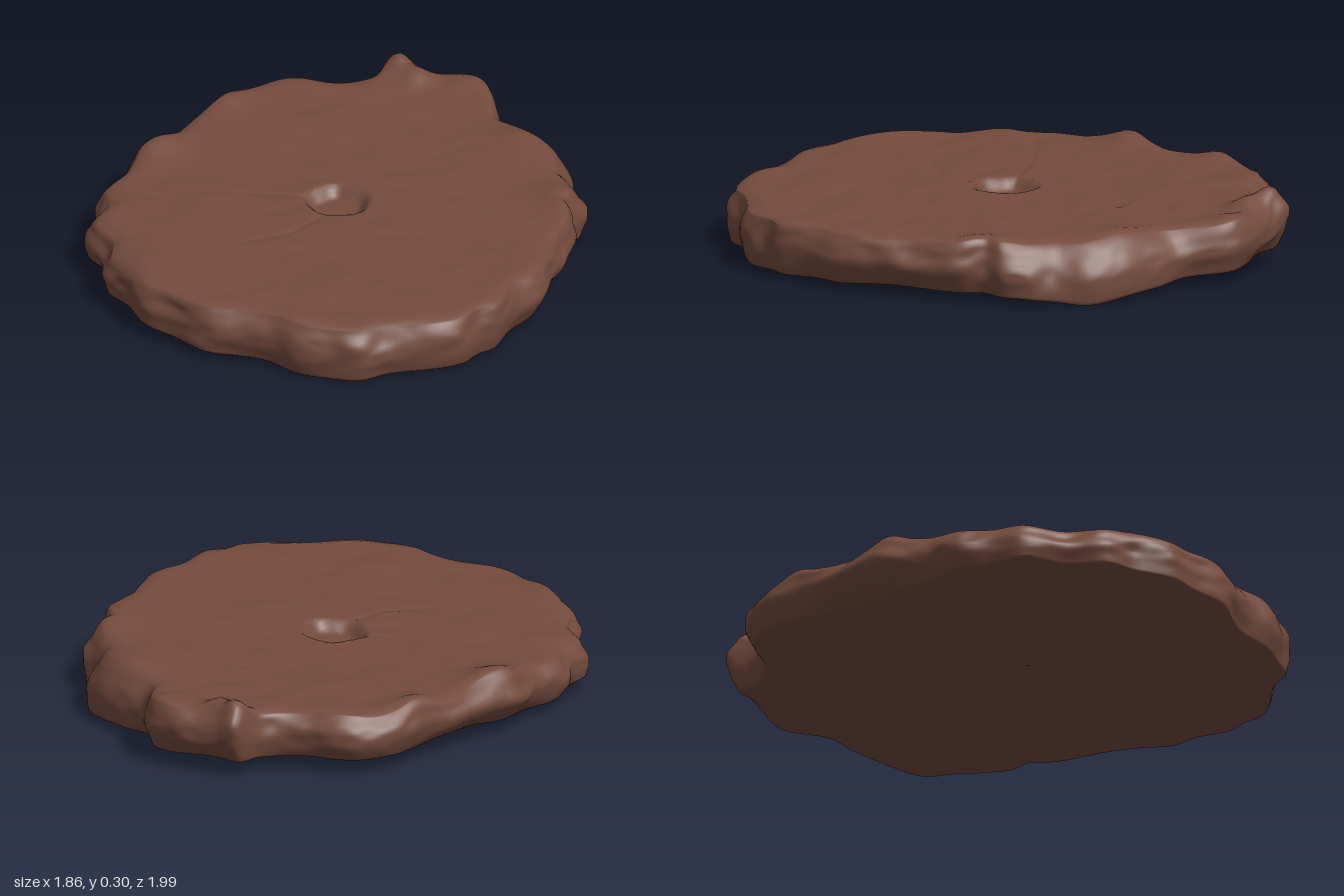
import * as THREE from 'three';

// Outer edge of the slab, as x, z pairs running clockwise from the back
const OUTLINE = [
  0.03, -1, 0.12, -0.98, 0.22, -0.93, 0.32, -0.91, 0.41, -0.92, 0.5, -0.975, 0.56, -0.92, 0.62, -0.87,
  0.7, -0.82, 0.78, -0.72, 0.785, -0.53, 0.85, -0.4, 0.905, -0.28, 0.93, -0.15, 0.905, -0.03, 0.91, 0.08,
  0.89, 0.18, 0.835, 0.23, 0.815, 0.32, 0.75, 0.45, 0.65, 0.61, 0.56, 0.74, 0.45, 0.82, 0.35, 0.915,
  0.27, 0.935, 0.2, 0.98, 0.06, 0.995, -0.1, 0.975, -0.2, 0.985, -0.3, 0.94, -0.42, 0.87, -0.5, 0.78,
  -0.61, 0.7, -0.7, 0.64, -0.79, 0.5, -0.87, 0.4, -0.895, 0.25, -0.935, 0.13, -0.905, 0, -0.92, -0.17,
  -0.845, -0.27, -0.81, -0.4, -0.7, -0.5, -0.61, -0.64, -0.45, -0.745, -0.25, -0.88, -0.11, -0.97,
];
const HUB = { x: 0, z: -0.02 };

// Raised lumps along the rim: x, z, height, radius
const LUMPS = [
  [0.49, -0.91, 0.065, 0.06], [0.53, -0.81, 0.035, 0.06], [0.72, -0.72, 0.025, 0.09],
  [-0.53, -0.62, 0.048, 0.13], [-0.19, -0.86, 0.035, 0.09], [0.1, -0.93, 0.015, 0.1],
  [0.8, -0.3, 0.02, 0.12], [0.82, 0.22, 0.018, 0.14], [-0.85, 0.25, 0.015, 0.12],
  [-0.4, 0.78, 0.01, 0.1],
];
// Shallow cracks in the top face
const CRACKS = [
  [[-0.66, -0.25], [-0.48, -0.23], [-0.3, -0.17], [-0.1, -0.08]],
  [[-0.42, 0.18], [-0.24, 0.17], [-0.1, 0.09]],
  [[0.28, -0.44], [0.39, -0.36]],
];

const bell = (x, z, cx, cz, w) => Math.exp(-((x - cx) ** 2 + (z - cz) ** 2) / (w * w));
const { lerp, smoothstep, clamp } = THREE.MathUtils;

// Seeded smooth noise, -1 to 1
const hash = (i, j, k) => {
  const s = Math.sin(i * 127.1 + j * 311.7 + k * 74.7) * 43758.5453;
  return (s - Math.floor(s)) * 2 - 1;
};
function noise(x, y, z) {
  const i = Math.floor(x), j = Math.floor(y), k = Math.floor(z);
  const u = smoothstep(x - i, 0, 1), v = smoothstep(y - j, 0, 1), w = smoothstep(z - k, 0, 1);
  const row = (b, c) => lerp(hash(i, b, c), hash(i + 1, b, c), u);
  const face = (c) => lerp(row(j, c), row(j + 1, c), v);
  return lerp(face(k), face(k + 1), w);
}

function segmentDistance(x, z, [ax, az], [bx, bz]) {
  const dx = bx - ax, dz = bz - az;
  const t = clamp(((x - ax) * dx + (z - az) * dz) / (dx * dx + dz * dz), 0, 1);
  return Math.hypot(x - ax - t * dx, z - az - t * dz);
}

// Height of the upper face
function topY(x, z) {
  let y = 0.224 + 0.01 * x + 0.008 * smoothstep(-z, 0.4, 0.9)
    + 0.005 * noise(x * 5, 3, z * 5) + 0.003 * noise(x * 9 + z * 4, 7, z * 15 - x * 5);
  for (const [cx, cz, h, w] of LUMPS) y += h * bell(x, z, cx, cz, w);
  y -= 0.012 * smoothstep(-x, 0.75, 0.95);
  for (const crack of CRACKS) {
    const d = Math.min(...crack.slice(1).map((end, i) => segmentDistance(x, z, crack[i], end)));
    y -= 0.004 * Math.exp(-((d / 0.014) ** 2));
  }
  // Central socket with an uneven round edge
  const dx = x - HUB.x, dz = z - HUB.z, a = Math.atan2(dz, dx);
  const edge = 0.114 + 0.005 * Math.cos(5 * a + 0.6) + 0.004 * Math.sin(2 * a);
  return y - 0.045 * (1 - smoothstep(Math.hypot(dx, dz), edge - 0.04, edge + 0.012));
}

// Height of the underside
function bottomY(x, z) {
  return 0.034 + 0.032 * smoothstep(-z, 0.3, 1) - 0.014 * smoothstep(z, 0.5, 1)
    + 0.022 * smoothstep(-x, 0.6, 0.95) - 0.03 * bell(x, z, 0.93, -0.13, 0.16)
    - 0.014 * bell(x, z, -0.3, 0.9, 0.25) + 0.004 * noise(x * 5, 11, z * 5)
    + 0.025 * bell(x, z, 0.02, 0.02, 0.05);
}

function slabGeometry() {
  const COLS = 288, FLOOR = 14, SIDE = 20, TOP = 56;
  const pts = [];
  for (let i = 0; i < OUTLINE.length; i += 2) pts.push(new THREE.Vector3(OUTLINE[i], 0, OUTLINE[i + 1]));
  const edge = new THREE.CatmullRomCurve3(pts, true);
  const columns = [];
  for (let c = 0; c < COLS; c++) {
    const p = edge.getPoint(c / COLS);
    const r = Math.hypot(p.x - HUB.x, p.z - HUB.z);
    columns.push({
      p, r,
      // How far the upper and lower edges sit inside the outline
      topIn: 0.036 + 0.02 * noise(p.x * 6, 21, p.z * 6) + 0.06 * bell(p.x, p.z, 0.9, -0.18, 0.35)
        + 0.045 * bell(p.x, p.z, -0.5, -0.72, 0.3) + 0.03 * bell(p.x, p.z, 0, -1, 0.2),
      bottomIn: Math.max(0.008, 0.025 + 0.02 * noise(p.x * 5, 33, p.z * 5)
        + 0.04 * bell(p.x, p.z, 0.6, -0.85, 0.25) - 0.04 * bell(p.x, p.z, 0.93, -0.13, 0.2)
        + 0.1 * bell(p.x, p.z, -0.45, -0.74, 0.38) + 0.07 * bell(p.x, p.z, 0.65, 0.55, 0.35)),
    });
  }
  const at = (col, inset, s = 1) => {
    const k = s * (1 - inset / col.r);
    return [HUB.x + (col.p.x - HUB.x) * k, HUB.z + (col.p.z - HUB.z) * k];
  };

  const pos = [];
  // Underside, from the centre outwards
  for (let i = 0; i <= FLOOR; i++) {
    for (const col of columns) {
      const [x, z] = at(col, col.bottomIn, i / FLOOR);
      pos.push(x, bottomY(x, z), z);
    }
  }
  // Rough side wall, rounded at both edges
  for (let i = 1; i < SIDE; i++) {
    const v = i / SIDE;
    for (const col of columns) {
      const low = Math.max(0, 1 - v / 0.5) ** 1.6, high = Math.max(0, (v - 0.3) / 0.7) ** 1.5;
      const { x: px, z: pz } = col.p;
      const chip = Math.sin(Math.PI * v) * (0.016 * noise(px * 8, v * 3, pz * 8)
        + 0.006 * noise(px * 17, v * 5 + 9, pz * 17));
      const [x, z] = at(col, Math.max(0, col.bottomIn * low + col.topIn * high + chip));
      const [tx, tz] = at(col, col.topIn), [bx, bz] = at(col, col.bottomIn);
      pos.push(x, lerp(bottomY(bx, bz), topY(tx, tz) - 0.01, Math.sin(v * Math.PI / 2) * 0.4 + v * 0.6), z);
    }
  }
  // Upper face, from the rim inwards
  for (let i = TOP; i >= 0; i--) {
    const s = (i / TOP) ** 1.25;
    for (const col of columns) {
      const [x, z] = at(col, col.topIn, s);
      pos.push(x, topY(x, z) - 0.01 * smoothstep(s, 0.96, 1), z);
    }
  }

  const index = [], rows = pos.length / 3 / COLS;
  for (let r = 0; r < rows - 1; r++) {
    for (let c = 0; c < COLS; c++) {
      const a = r * COLS + c, b = r * COLS + (c + 1) % COLS, d = a + COLS, e = b + COLS;
      if (r > 0) index.push(a, d, b);
      if (r < rows - 2) index.push(b, d, e);
    }
  }
  const geometry = new THREE.BufferGeometry();
  geometry.setAttribute('position', new THREE.Float32BufferAttribute(pos, 3));
  geometry.setIndex(index);
  geometry.computeBoundingBox();
  geometry.translate(0, -geometry.boundingBox.min.y, 0);
  geometry.computeVertexNormals();
  // The poles share one normal each
  const normal = geometry.attributes.normal;
  for (let c = 0; c < COLS; c++) {
    normal.setXYZ(c, 0, -1, 0);
    normal.setXYZ((rows - 1) * COLS + c, 0, 1, 0);
  }
  return geometry;
}

export function createModel() {
  const group = new THREE.Group();
  group.name = 'stoneDisc';
  const stone = new THREE.MeshStandardMaterial({ color: 0x734b3d });
  stone.name = 'reddish brown stone';
  const slab = new THREE.Mesh(slabGeometry(), stone);
  slab.name = 'slab';
  group.add(slab);
  return group;
}
